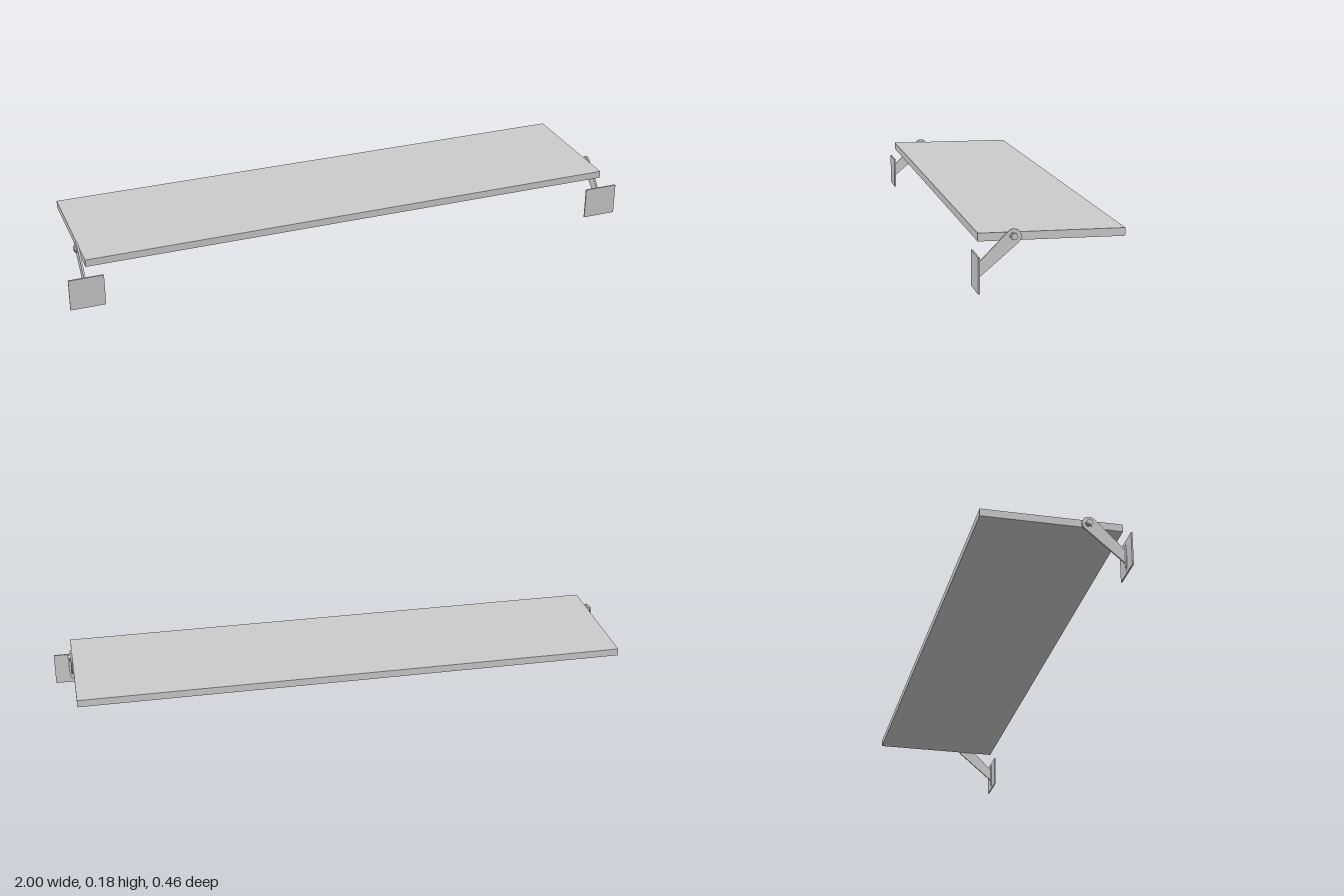
import * as THREE from 'three';

const material = new THREE.MeshStandardMaterial({ color: 0xcccccc, flatShading: true });
const smooth = new THREE.MeshStandardMaterial({ color: 0xcccccc });

function add(parent, name, geometry, x = 0, y = 0, z = 0, mat = material) {
  const mesh = new THREE.Mesh(geometry, mat);
  mesh.name = name;
  mesh.position.set(x, y, z);
  parent.add(mesh);
  return mesh;
}

const PIVOT_Y = 0.158, PIVOT_Z = 0.112;

// Side profile of the arm, drawn with shape x = -z
function armGeometry(thickness) {
  const s = new THREE.Shape();
  s.moveTo(-0.225, 0.031);
  s.lineTo(-0.097, 0.14);
  s.absarc(-PIVOT_Z, PIVOT_Y, 0.023, -0.87, 2.36, false);
  s.lineTo(-0.225, 0.076);
  s.closePath();
  const g = new THREE.ExtrudeGeometry(s, { depth: thickness, bevelEnabled: false, curveSegments: 20 });
  return g.rotateY(Math.PI / 2);
}

// Disc or hexagon with its axis along x
function pin(radius, from, to, sides) {
  const g = new THREE.CylinderGeometry(radius, radius, to - from, sides);
  return g.rotateZ(Math.PI / 2).translate((from + to) / 2, 0, 0);
}

function bracket(side) {
  const group = new THREE.Group();
  group.name = side > 0 ? 'leftBracket' : 'rightBracket';

  // Square mounting plate with a slim weld at the arm
  add(group, 'mountingPlate', new THREE.BoxGeometry(0.118, 0.11, 0.005), side * 0.941, 0.055, 0.2275);
  const weld = new THREE.SphereGeometry(1, 20, 12).scale(0.009, 0.045, 0.004);
  add(group, 'weld', weld, side * 0.941, 0.055, 0.225, smooth);

  // Sloping arm, just outside the board end
  const armX = side > 0 ? 0.938 : -0.944;
  add(group, 'arm', armGeometry(0.006), armX, 0, 0);

  // Pivot bolt: washer, hex nut and threaded tip
  const bolt = new THREE.Group();
  bolt.name = 'pivotBolt';
  bolt.position.set(side * 0.938, PIVOT_Y, PIVOT_Z);
  add(bolt, 'washer', pin(0.0135, 0.005, 0.0075, 24).scale(side, 1, 1).rotateY(side < 0 ? Math.PI : 0).scale(side, 1, 1));
  add(bolt, 'nut', pin(0.0115, 0.007, 0.0125, 6));
  add(bolt, 'boltTip', pin(0.007, 0.0, 0.0145, 20));
  bolt.children[0].geometry = pin(0.0135, 0.005, 0.0075, 24);
  if (side < 0) bolt.rotation.y = Math.PI;
  group.add(bolt);
  return group;
}

export function createModel() {
  const model = new THREE.Group();
  model.name = 'shelf';

  // Flat board
  add(model, 'board', new THREE.BoxGeometry(1.876, 0.025, 0.449), 0, 0.158, -0.0045);

  // Mirrored end brackets
  for (const side of [-1, 1]) model.add(bracket(side));
  return model;
}
